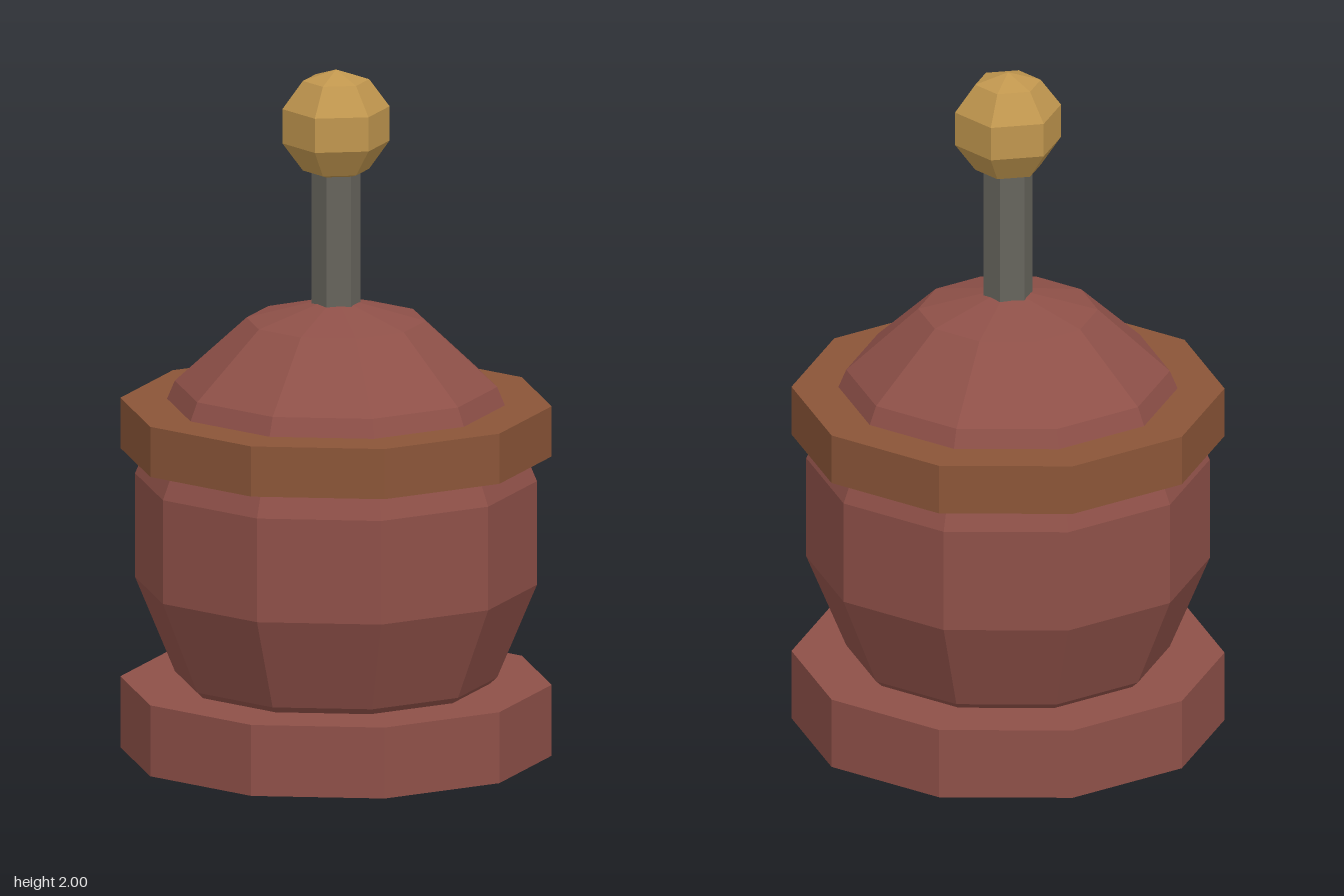
import * as THREE from 'three';

const paint = (color) => new THREE.MeshStandardMaterial({ color, flatShading: true });

export function createModel() {
  const group = new THREE.Group();
  const red = paint(0x8e5048);
  const brown = paint(0x8b5538);
  const steel = paint(0x66645c);
  const brass = paint(0xc0964e);

  const add = (name, geometry, material, y) => {
    const mesh = new THREE.Mesh(geometry, material);
    mesh.name = name;
    mesh.position.y = y;
    group.add(mesh);
  };

  // Upright prism between two heights, with corners on the z axis
  const prism = (name, radius, bottom, top, sides, material) =>
    add(name, new THREE.CylinderGeometry(radius, radius, top - bottom, sides), material, (bottom + top) / 2);

  // Faceted ball, turned so its corners line up with the prisms
  const ball = (name, radius, halfHeight, y, sides, rows, material) =>
    add(name, new THREE.SphereGeometry(1, sides, rows)
      .rotateY(Math.PI / 2)
      .scale(radius, halfHeight, radius), material, y);

  // Rounded pot, its tip poking just below the base
  ball('body', 0.583, 0.673, 0.673, 10, 7, red);
  prism('base', 0.61, 0.03, 0.235, 10, red);
  prism('rimBand', 0.61, 0.895, 1.04, 10, brown);

  // Plunger rod and knob
  prism('rod', 0.07, 1.2, 1.75, 6, steel);
  ball('knob', 0.16, 0.16, 1.841, 6, 5, brass);

  return group;
}
